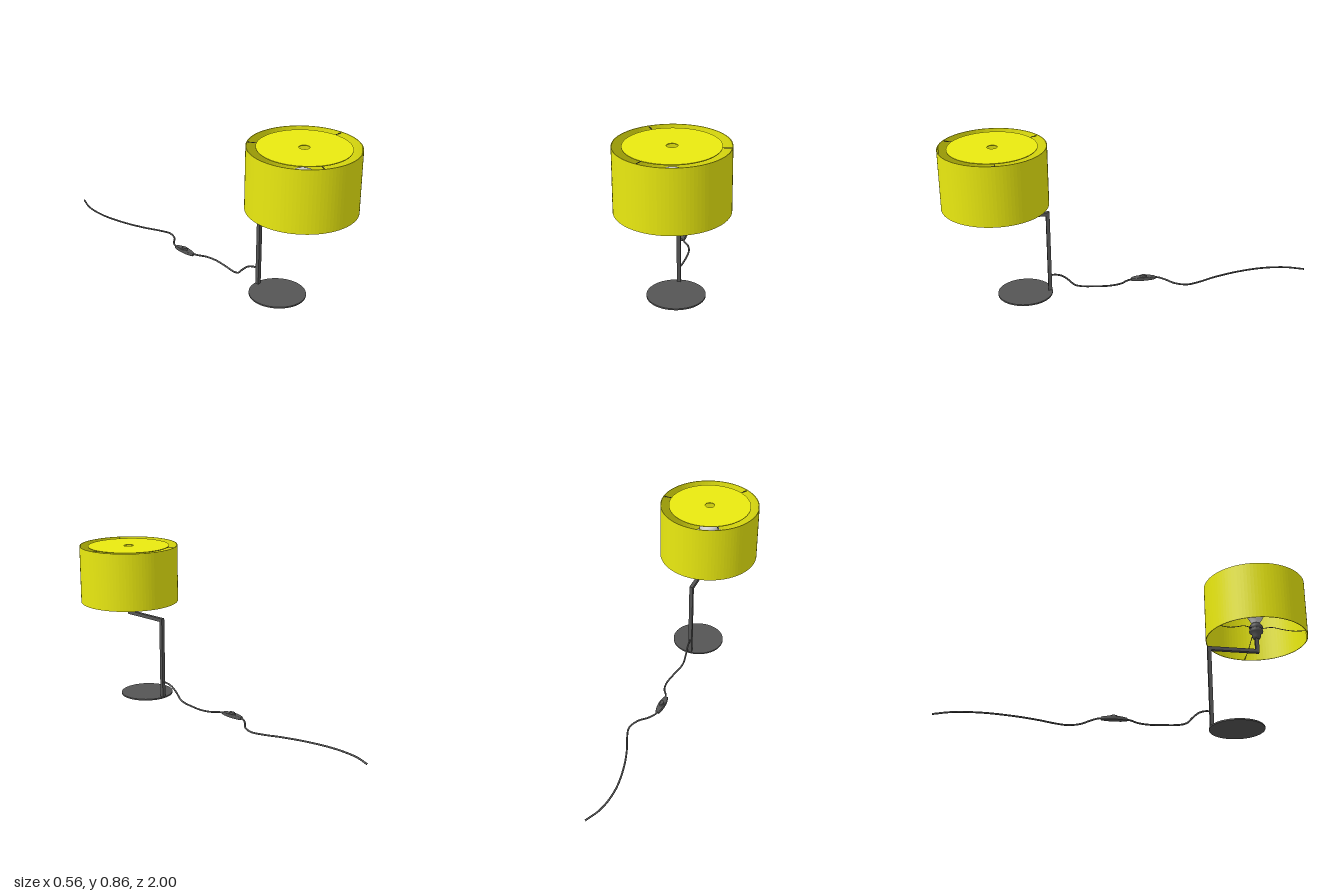
import * as THREE from 'three';

const YELLOW = 0xeaea10, DARK = 0x555555, GREY = 0xcccccc;
const AXIS_Z = 0.72; // centre line of shade, socket and bulb
const POLE_Z = 0.45;

const material = (color, double = false) => new THREE.MeshStandardMaterial({
  color, side: double ? THREE.DoubleSide : THREE.FrontSide,
});

function add(parent, name, geometry, color, x = 0, y = 0, z = 0, double = false) {
  const mesh = new THREE.Mesh(geometry, material(color, double));
  mesh.name = name;
  mesh.position.set(x, y, z);
  parent.add(mesh);
  return mesh;
}

const vectors = (points) => points.map((p) => new THREE.Vector3(...p));

// Round rod or cable along a smooth path
const tube = (points, radius, segments, sides = 10) =>
  new THREE.TubeGeometry(new THREE.CatmullRomCurve3(vectors(points)), segments, radius, sides);

// Turned part; each profile segment keeps its own normals when sharp
function turned(profile, sharp = false, sides = 64) {
  const pts = [];
  profile.forEach(([r, y], i) => {
    pts.push(new THREE.Vector2(r, y));
    if (sharp && i > 0 && i < profile.length - 1) pts.push(new THREE.Vector2(r, y));
  });
  const g = new THREE.LatheGeometry(pts, sides);
  if (sharp) { g.deleteAttribute('normal'); const flat = g.toNonIndexed(); flat.computeVertexNormals(); return flat; }
  return g;
}

export function createModel() {
  const lamp = new THREE.Group();
  lamp.name = 'tableLamp';

  // Base disc and square-section stand
  add(lamp, 'base', new THREE.CylinderGeometry(0.148, 0.148, 0.008, 72), DARK, 0, 0.006, 0.585);
  add(lamp, 'pole', new THREE.BoxGeometry(0.02, 0.467, 0.02), DARK, 0, 0.2415, POLE_Z);
  add(lamp, 'arm', new THREE.BoxGeometry(0.02, 0.02, AXIS_Z - POLE_Z), DARK,
    0, 0.465, (AXIS_Z + POLE_Z) / 2);
  add(lamp, 'riser', new THREE.BoxGeometry(0.02, 0.1, 0.02), DARK, 0, 0.505, AXIS_Z);

  // Everything turned around the shade axis
  const head = new THREE.Group();
  head.name = 'head';
  head.position.z = AXIS_Z;
  lamp.add(head);

  // Shade wall: thin closed ring
  add(head, 'shade', turned([
    [0.276, 0.536], [0.28, 0.536], [0.28, 0.862], [0.276, 0.862], [0.276, 0.536],
  ], true, 96), YELLOW, 0, 0, 0, true);

  // Diffuser disc with a centre hole
  const disc = new THREE.Shape().absarc(0, 0, 0.232, 0, Math.PI * 2);
  disc.holes.push(new THREE.Path().absarc(0, 0, 0.027, 0, Math.PI * 2, true));
  const discGeometry = new THREE.ExtrudeGeometry(disc, { depth: 0.004, bevelEnabled: false, curveSegments: 72 });
  discGeometry.rotateX(-Math.PI / 2);
  add(head, 'diffuser', discGeometry, YELLOW, 0, 0.855, 0);

  // Lamp socket with a collar
  add(head, 'socket', turned([
    [0, 0.54], [0.018, 0.54], [0.024, 0.552], [0.026, 0.57], [0.037, 0.578], [0.039, 0.586],
    [0.037, 0.594], [0.031, 0.598], [0.037, 0.602], [0.038, 0.61], [0.035, 0.618],
    [0.027, 0.63], [0, 0.63],
  ], false, 40), DARK);

  // Reflector bulb
  add(head, 'bulb', turned([
    [0, 0.62], [0.022, 0.62], [0.025, 0.64], [0.038, 0.662], [0.05, 0.685], [0.057, 0.71],
    [0.056, 0.725], [0.047, 0.736], [0.028, 0.743], [0, 0.746],
  ], false, 40), GREY);

  // Three lower support wires and three short struts for the diffuser
  for (let i = 0; i < 3; i++) {
    const spoke = new THREE.Group();
    spoke.name = 'shadeSupport';
    spoke.rotation.y = (i * Math.PI * 2) / 3;
    head.add(spoke);
    add(spoke, 'lowerWire', tube([
      [0.03, 0.598, 0], [0.09, 0.594, 0], [0.15, 0.57, 0], [0.21, 0.55, 0], [0.278, 0.54, 0],
    ], 0.002, 24, 6), DARK);
    add(spoke, 'upperStrut', new THREE.BoxGeometry(0.05, 0.003, 0.003), DARK, 0.253, 0.856, 0);
  }

  // Power cord in two lengths, either side of the switch
  add(lamp, 'frontCord', tube([
    [0, 0.098, 0.445], [-0.003, 0.096, 0.415], [-0.006, 0.083, 0.38], [-0.01, 0.052, 0.345],
    [-0.009, 0.022, 0.315], [-0.004, 0.012, 0.28], [0.01, 0.011, 0.2], [0.018, 0.012, 0.12],
    [0.008, 0.014, 0.06], [-0.018, 0.017, 0.015], [-0.03, 0.018, -0.03],
  ], 0.005, 120), DARK);
  add(lamp, 'rearCord', tube([
    [-0.03, 0.018, -0.12], [-0.026, 0.016, -0.155], [0, 0.012, -0.193], [0.045, 0.009, -0.237],
    [0.068, 0.007, -0.3], [0.05, 0.006, -0.37], [0.012, 0.006, -0.46], [-0.03, 0.006, -0.6],
    [-0.053, 0.006, -0.76], [-0.04, 0.006, -0.9], [0, 0.006, -0.999],
  ], 0.005, 140), DARK);

  // In-line switch: tapered flat body, seam rim and a rocker
  const cordSwitch = new THREE.Group();
  cordSwitch.name = 'cordSwitch';
  cordSwitch.position.set(-0.03, 0, -0.073);
  lamp.add(cordSwitch);
  const outline = new THREE.Shape();
  outline.moveTo(-0.007, -0.066);
  outline.bezierCurveTo(-0.02, -0.035, -0.02, 0.035, -0.007, 0.066);
  outline.lineTo(0.007, 0.066);
  outline.bezierCurveTo(0.02, 0.035, 0.02, -0.035, 0.007, -0.066);
  outline.closePath();
  const body = new THREE.ExtrudeGeometry(outline, {
    depth: 0.01, bevelThickness: 0.005, bevelSize: 0.003, bevelSegments: 3, curveSegments: 16,
  });
  body.rotateX(-Math.PI / 2);
  // Lower the top towards both ends
  const p = body.attributes.position;
  for (let i = 0; i < p.count; i++) {
    const t = Math.min(1, Math.abs(p.getZ(i)) / 0.07);
    if (p.getY(i) > 0.005) p.setY(i, p.getY(i) - 0.005 * t * t);
  }
  body.computeVertexNormals();
  add(cordSwitch, 'switchBody', body, DARK, 0, 0.013, 0);
  const rocker = add(cordSwitch, 'switchRocker', new THREE.CylinderGeometry(0.01, 0.011, 0.012, 28), DARK, 0, 0.03, 0);
  rocker.scale.z = 1.8;

  return lamp;
}
